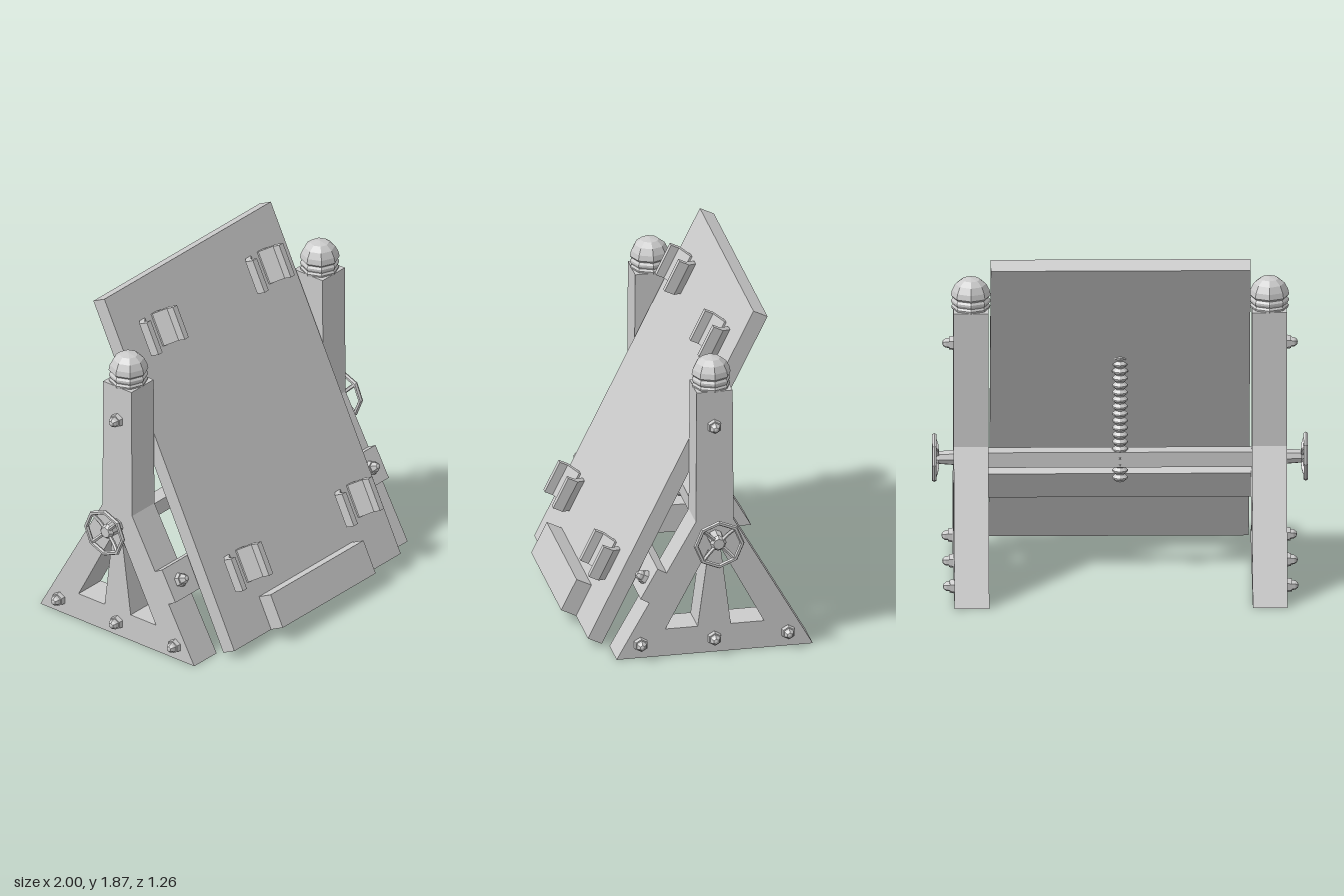
import * as THREE from 'three';

const mat = new THREE.MeshStandardMaterial({ color: 0xcccccc, flatShading: true, side: THREE.DoubleSide });

function add(parent, name, geometry, x = 0, y = 0, z = 0) {
  const mesh = new THREE.Mesh(geometry, mat);
  mesh.name = name;
  mesh.position.set(x, y, z);
  parent.add(mesh);
  return mesh;
}

const box = (w, h, d) => new THREE.BoxGeometry(w, h, d);
const pts = (list) => list.map(([a, b]) => new THREE.Vector2(a, b));
const lathe = (list, sides) => new THREE.LatheGeometry(pts(list), sides);

// Hex bolt with a small domed nut, pointing along +y
function bolt(parent, name) {
  const g = new THREE.Group();
  g.name = name;
  add(g, 'hexHead', new THREE.CylinderGeometry(0.036, 0.04, 0.024, 6), 0, 0.012, 0);
  add(g, 'domeNut', lathe([[0.029, 0.02], [0.026, 0.042], [0.015, 0.056], [0, 0.06]], 6));
  parent.add(g);
  return g;
}

// Upright with triangular foot: profile drawn in (-z, y), extruded across x
function frameGeometry(width) {
  const shape = new THREE.Shape(pts([
    [-0.435, 0], [0.63, 0], [0.2, 0.76], [0.195, 1.51], [0, 1.51], [-0.005, 0.76],
  ]));
  shape.holes.push(new THREE.Path(pts([[-0.17, 0.155], [0.065, 0.6], [0.005, 0.155]])));
  shape.holes.push(new THREE.Path(pts([[0.365, 0.155], [0.185, 0.155], [0.13, 0.6]])));
  return new THREE.ExtrudeGeometry(shape, { depth: width, bevelEnabled: false }).rotateY(Math.PI / 2);
}

// Eight-sided handwheel, axis along +y, starting at the frame's face
function handwheel() {
  const g = new THREE.Group();
  g.name = 'handwheel';
  add(g, 'shaft', new THREE.CylinderGeometry(0.035, 0.042, 0.09, 8), 0, 0.045, 0);
  add(g, 'hub', new THREE.CylinderGeometry(0.03, 0.045, 0.02, 8), 0, 0.09, 0);
  add(g, 'rim', new THREE.TorusGeometry(0.125, 0.013, 6, 8).rotateX(Math.PI / 2), 0, 0.102, 0);
  for (let i = 0; i < 4; i++) {
    const a = Math.PI / 4 + i * Math.PI / 2;
    const at = (r, h) => new THREE.Vector3(Math.cos(a) * r, h, Math.sin(a) * r);
    const path = new THREE.CatmullRomCurve3([at(0.02, 0.085), at(0.07, 0.088), at(0.118, 0.102)]);
    add(g, 'spoke', new THREE.TubeGeometry(path, 4, 0.011, 5));
  }
  return g;
}

// Bent clip: a root that splays outward, then stands straight
function clipGeometry(s) {
  const section = [[0.03, 0], [0.065, 0], [0.125, 0.055], [0.125, 0.112], [0.092, 0.112], [0.092, 0.065], [0.03, 0.01]];
  const shape = new THREE.Shape(pts(section.map(([x, z]) => [x * s, -z])));
  return new THREE.ExtrudeGeometry(shape, { depth: 0.185, bevelEnabled: false }).rotateX(-Math.PI / 2);
}

export function createModel() {
  const model = new THREE.Group();
  model.name = 'tiltingBoardStand';

  // Leaning board: local y runs up the board, local z out of its front
  const board = new THREE.Group();
  board.name = 'tiltingBoard';
  board.position.set(0, 0.05, 0.55);
  board.rotation.x = -0.459;
  model.add(board);
  add(board, 'panel', box(1.38, 2.03, 0.085), 0, 1.015, -0.0425);
  add(board, 'bottomLedge', box(0.77, 0.19, 0.09), 0, 0.095, 0.045);
  for (const side of [-1, 1]) {
    for (const [x, y] of [[0.46, 0.29], [0.44, 1.645]]) {
      for (const s of [-1, 1]) add(board, 'clip', clipGeometry(s), side * x, y, 0);
    }
  }

  // Side frames
  for (const side of [-1, 1]) {
    const frame = new THREE.Group();
    frame.name = side > 0 ? 'leftFrame' : 'rightFrame';
    model.add(frame);
    add(frame, 'upright', frameGeometry(0.185), side > 0 ? 0.7 : -0.885, 0, 0);

    // Ringed dome cap
    add(frame, 'domeCap', lathe([
      [0, 1.505], [0.1, 1.505], [0.104, 1.52], [0.096, 1.532], [0.104, 1.545], [0.104, 1.556],
      [0.095, 1.568], [0.106, 1.58], [0.1, 1.61], [0.082, 1.645], [0.05, 1.67], [0, 1.68],
    ], 8), side * 0.793, 0, -0.097);

    // Outer bolts
    for (const [y, z] of [[1.31, -0.095], [0.08, 0.305], [0.08, -0.095], [0.08, -0.495]]) {
      const b = bolt(frame, 'sideBolt');
      b.position.set(side * 0.885, y, z);
      b.rotation.set(0, 0, -side * Math.PI / 2);
      b.children.forEach((m) => { m.rotation.y = Math.PI / 2; });
    }

    const wheel = handwheel();
    wheel.position.set(side * 0.885, 0.665, -0.1);
    wheel.rotation.z = -side * Math.PI / 2;
    frame.add(wheel);
  }

  // Sloping bar bolted to the front legs, carrying the board
  const bar = new THREE.Group();
  bar.name = 'supportBar';
  bar.position.set(0, 0.395, 0.208);
  bar.rotation.x = -0.51;
  model.add(bar);
  add(bar, 'bar', box(1.77, 0.19, 0.06), 0, 0, 0.028);
  for (const side of [-1, 1]) {
    const b = bolt(bar, 'barBolt');
    b.position.set(side * 0.793, 0, 0.058);
    b.rotation.x = Math.PI / 2;
  }

  // Crossbar and threaded lifting screw
  add(model, 'crossbar', box(1.44, 0.085, 0.085), 0, 0.662, -0.097);
  const thread = [[0, 0.53]];
  for (let i = 0; i < 18; i++) {
    const y = 0.53 + i * 0.04;
    thread.push([0.025, y], [0.042, y + 0.016], [0.042, y + 0.024]);
  }
  thread.push([0.025, 1.25], [0, 1.25]);
  add(model, 'liftingScrew', lathe(thread, 8), 0, 0, -0.1);

  return model;
}
